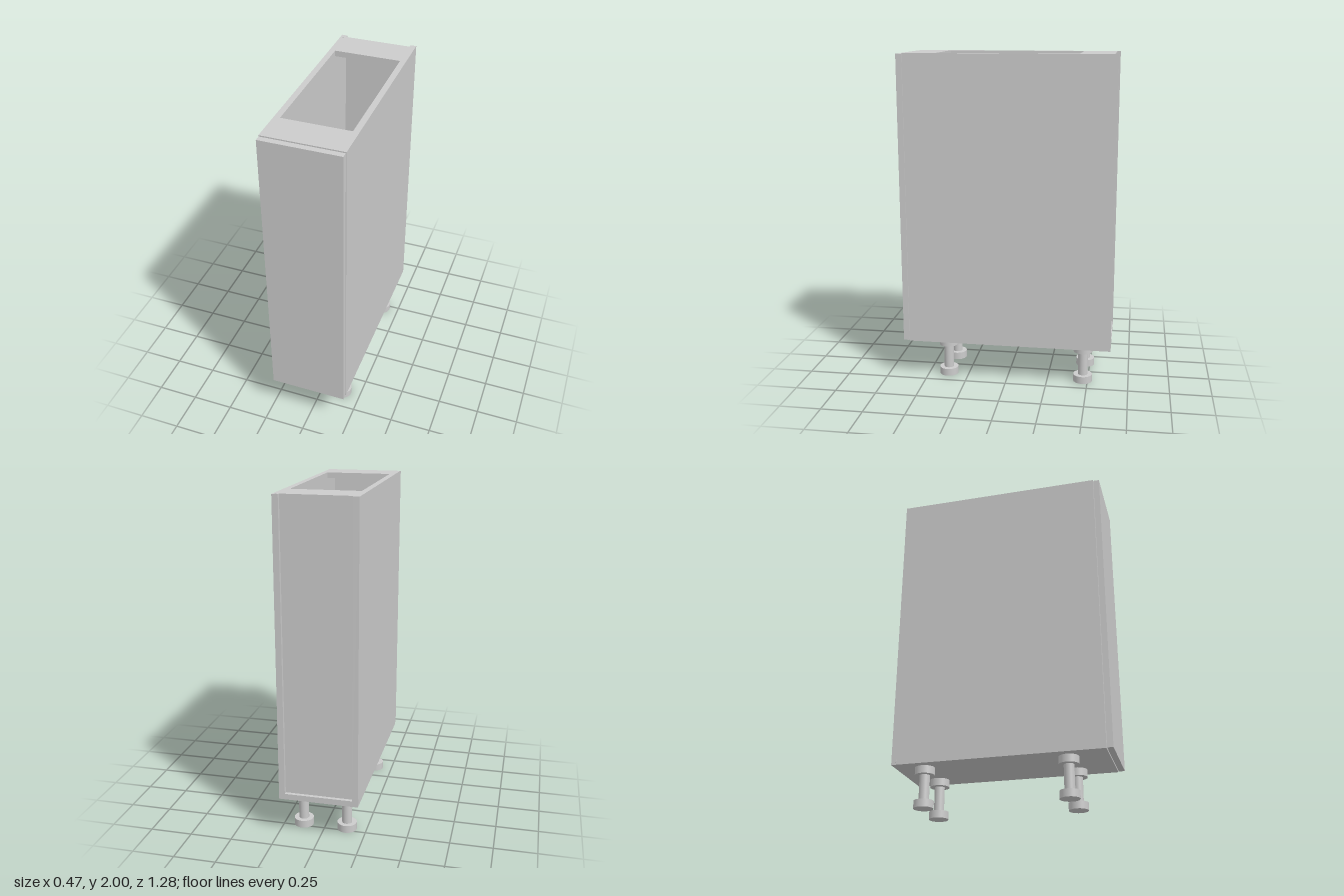
import * as THREE from 'three';

const material = new THREE.MeshStandardMaterial({ color: 0xcccccc });

export function createModel() {
  const group = new THREE.Group();
  group.name = 'baseCabinet';

  const add = (name, geometry, parent = group) => {
    const mesh = new THREE.Mesh(geometry, material);
    mesh.name = name;
    parent.add(mesh);
    return mesh;
  };
  // Box given by its minimum and maximum on each axis
  const panel = (name, [x0, x1], [y0, y1], [z0, z1]) =>
    add(name, new THREE.BoxGeometry(x1 - x0, y1 - y0, z1 - z0))
      .position.set((x0 + x1) / 2, (y0 + y1) / 2, (z0 + z1) / 2);

  const W = 0.234, IN = 0.199;          // outer and inner half width
  const BOTTOM = 0.24, TOP = 2, T = 0.035;
  const BACK = -0.64, FRONT = 0.602;
  const inner = [-IN, IN];

  // Carcass sides with small fixing pins near the back edge
  for (const [side, s] of [['left', 1], ['right', -1]]) {
    const span = (a, b) => [Math.min(s * a, s * b), Math.max(s * a, s * b)];
    panel(side + 'Side', span(IN, W), [BOTTOM, TOP], [BACK, FRONT]);
    panel(side + 'SidePin', span(W - 0.01, W + 0.001), [0.255, 0.28], [-0.618, -0.607]);
    panel(side + 'TopPin', span(0.213, 0.222), [TOP - 0.01, TOP + 0.001], [-0.618, -0.607]);
  }

  // Floor, recessed back and the two top rails around the opening
  panel('floor', inner, [BOTTOM, BOTTOM + T], [BACK, FRONT]);
  panel('backPanel', inner, [BOTTOM + T, TOP], [-0.619, -0.609]);
  panel('backRail', inner, [TOP - T, TOP], [-0.609, -0.42]);
  panel('frontRail', inner, [TOP - T, TOP], [0.407, FRONT]);

  // Door, slightly smaller than the carcass and set off by a thin gap
  panel('door', [-0.231, 0.231], [0.243, 1.995], [0.605, 0.64]);

  // Adjustable legs: wide foot, slim stem, wide mounting plate
  const profile = [[0, 0], [0.058, 0], [0.058, 0.045], [0.03, 0.045],
    [0.03, 0.195], [0.058, 0.195], [0.058, 0.24], [0, 0.24]];
  for (const x of [-0.133, 0.133]) {
    for (const z of [0.376, -0.47]) {
      const leg = new THREE.Group();
      leg.name = (z > 0 ? 'front' : 'back') + (x > 0 ? 'Left' : 'Right') + 'Leg';
      leg.position.set(x, 0, z);
      // One lathe per straight run keeps the rims crisp
      for (let i = 0; i < profile.length - 1; i++) {
        const run = [profile[i], profile[i + 1]].map(p => new THREE.Vector2(...p));
        add('legSurface', new THREE.LatheGeometry(run, 32), leg);
      }
      group.add(leg);
    }
  }
  return group;
}
